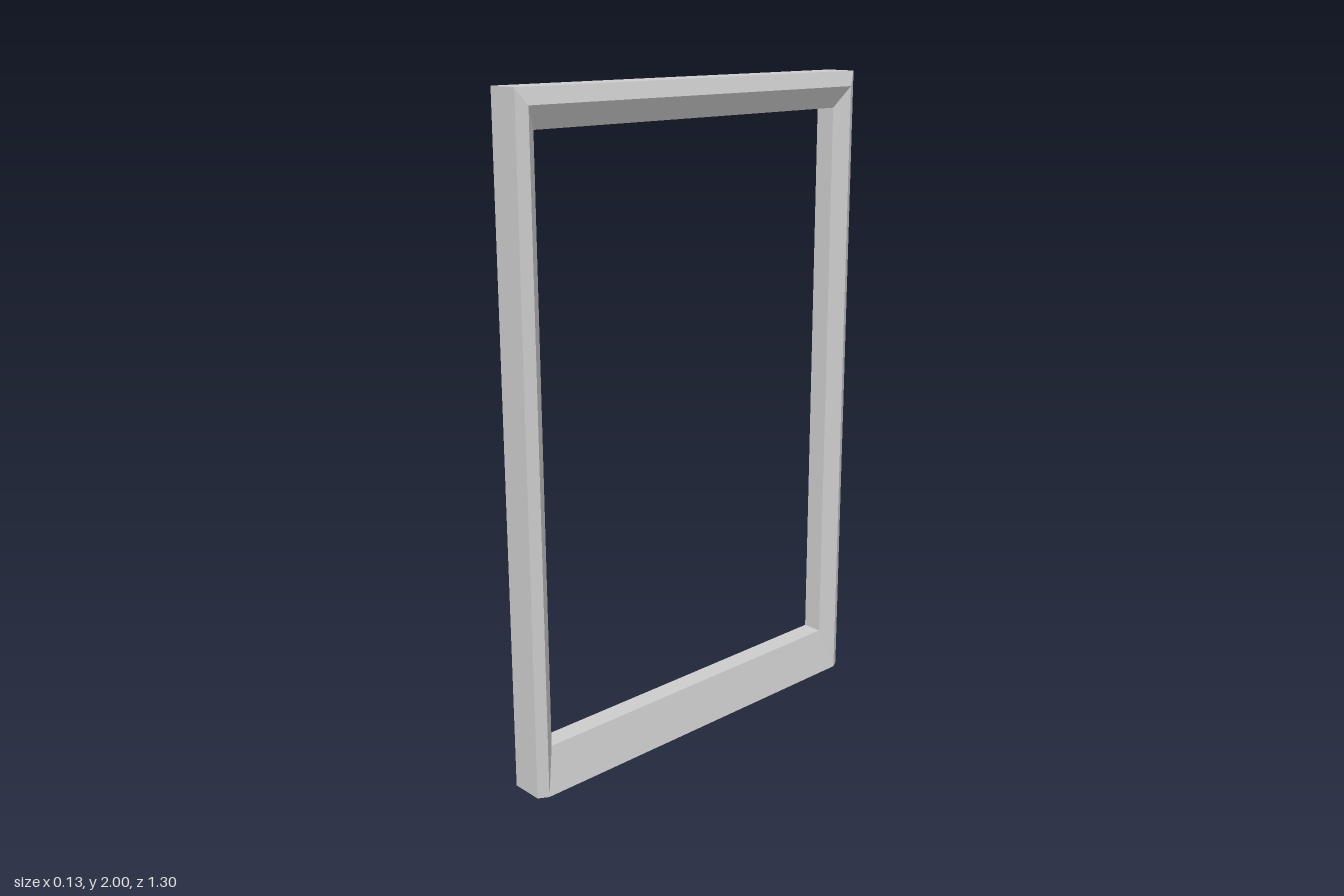
import * as THREE from 'three';

// Rectangular rings around the opening: [x, half width in z, bottom y, top y]
const RINGS = [
  [-0.05, 0.65, 0, 2],          // outer edge
  [0.05, 0.65, 0, 2],
  [0.067, 0.62, 0, 1.955],      // raised ridge
  [0.032, 0.58, 0.135, 1.89],   // inner edge of the opening
  [-0.032, 0.58, 0.135, 1.89],
  [-0.067, 0.62, 0, 1.955],     // ridge on the other face
];

// Corner k of a ring, in the order bottom +z, top +z, top -z, bottom -z
function corner([x, w, bottom, top], k) {
  return [x, k === 1 || k === 2 ? top : bottom, k < 2 ? w : -w];
}

// One mitred bar of the frame, running from corner k to the next corner
function barGeometry(k) {
  const positions = [];
  const next = (k + 1) % 4;
  RINGS.forEach((ring, i) => {
    const other = RINGS[(i + 1) % RINGS.length];
    const a = corner(ring, k), b = corner(other, k);
    const c = corner(other, next), d = corner(ring, next);
    positions.push(...a, ...b, ...c, ...a, ...c, ...d);
  });
  const geometry = new THREE.BufferGeometry();
  geometry.setAttribute('position', new THREE.Float32BufferAttribute(positions, 3));
  geometry.computeVertexNormals();
  return geometry;
}

export function createModel() {
  const group = new THREE.Group();
  group.name = 'windowFrame';
  const material = new THREE.MeshStandardMaterial({ color: 0xcccccc, flatShading: true });

  // Four bars meeting at mitred corners
  ['frontStile', 'topRail', 'backStile', 'bottomSill'].forEach((name, k) => {
    const bar = new THREE.Mesh(barGeometry(k), material);
    bar.name = name;
    group.add(bar);
  });
  return group;
}
